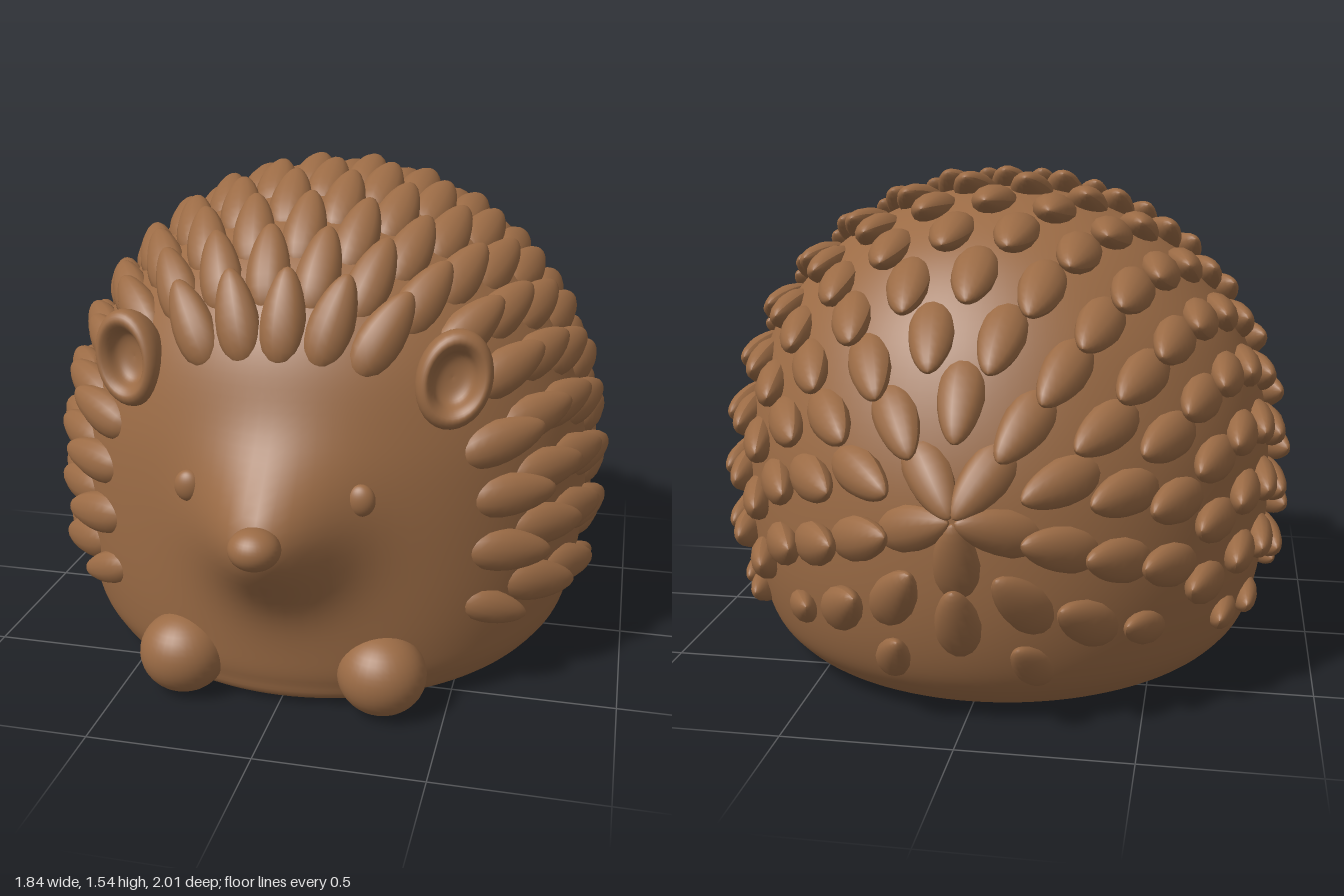
import * as THREE from 'three';
import { mergeGeometries } from 'three/addons/utils/BufferGeometryUtils.js';

// Body levels: height, half width, front z, back z
const LEVELS = [
  [0, 0, 0, 0], [0, 0.4, 0.42, -0.45], [0.01, 0.66, 0.66, -0.7], [0.08, 0.77, 0.71, -0.82],
  [0.2, 0.82, 0.73, -0.89], [0.4, 0.85, 0.74, -0.93], [0.65, 0.85, 0.74, -0.93],
  [0.85, 0.82, 0.72, -0.89], [1.05, 0.74, 0.67, -0.81], [1.2, 0.63, 0.58, -0.71],
  [1.32, 0.5, 0.44, -0.59], [1.41, 0.34, 0.27, -0.44], [1.465, 0.17, 0.08, -0.28], [1.48, 0, -0.1, -0.1],
];

// Egg-shaped rings stacked upward, pulled forward into a snout
function bodyGeometry(rows = 84, segs = 120) {
  const spline = new THREE.CubicInterpolant(LEVELS.map((_, i) => i), LEVELS.flat(), 4);
  const pos = [], index = [];
  for (let i = 0; i <= rows; i++) {
    const [h, w, front, back] = spline.evaluate((i / rows) * (LEVELS.length - 1));
    const y = Math.max(0, h), mid = -0.1 * y / 1.48;
    for (let j = 0; j < segs; j++) {
      const t = (j / segs) * Math.PI * 2, c = Math.cos(t);
      const x = w * Math.sin(t);
      let z = mid + c * (c > 0 ? front - mid : mid - back);
      if (c > 0) z += 0.2 * c * Math.exp(-(x * x + (y - 0.6) ** 2) / 0.04);
      pos.push(x, y, z);
      if (i < rows) {
        const k = (j + 1) % segs, a = i * segs, b = a + segs;
        index.push(a + j, a + k, b + k, a + j, b + k, b + j);
      }
    }
  }
  const geo = new THREE.BufferGeometry();
  geo.setAttribute('position', new THREE.Float32BufferAttribute(pos, 3));
  geo.setIndex(index);
  geo.computeVertexNormals();
  return geo;
}

// One rounded quill along +y, slimmer toward the tip
function quillGeometry() {
  const geo = new THREE.SphereGeometry(1, 14, 12);
  const p = geo.attributes.position;
  for (let i = 0; i < p.count; i++) {
    const y = p.getY(i), s = 1 - 0.22 * y;
    p.setXYZ(i, p.getX(i) * 0.066 * s, y * 0.145, p.getZ(i) * 0.05 * s);
  }
  geo.computeVertexNormals();
  return geo;
}

// Rings of quills that fan out from the face and lie toward the back
function quillsGeometry(body) {
  const ray = new THREE.Raycaster(), quill = quillGeometry(), parts = [];
  const centre = new THREE.Vector3(0, 0.65, 0);
  const rings = 11;
  for (let k = 0; k <= rings; k++) {
    const nominal = THREE.MathUtils.degToRad(52 + (k / rings) * 120);
    const n = Math.max(5, Math.round(30 * Math.sin(nominal)));
    for (let j = 0; j < n; j++) {
      const phi = Math.PI / 2 + ((j + (k % 2) / 2) / n) * Math.PI * 2;
      const start = 55 - 13 * Math.max(0, Math.sin(phi)) ** 2;
      const a = THREE.MathUtils.degToRad(start + (k / rings) * (172 - start));
      const cx = Math.cos(phi), cy = Math.sin(phi);
      const dir = new THREE.Vector3(cx * Math.sin(a), cy * Math.sin(a), Math.cos(a));
      ray.set(centre.clone().addScaledVector(dir, 3), dir.clone().negate());
      const hit = ray.intersectObject(body)[0];
      if (!hit || hit.point.y < 0.2) continue;
      const pt = hit.point, normal = hit.face.normal;
      if (Math.hypot(Math.abs(pt.x) - 0.48, pt.y - 1.02, pt.z - 0.54) < 0.17) continue;
      const flow = new THREE.Vector3(cx * Math.cos(a), cy * Math.cos(a), -Math.sin(a));
      flow.addScaledVector(normal, -flow.dot(normal)).normalize();
      const tilt = 0.3 + 0.15 * (k / rings);
      const up = flow.multiplyScalar(Math.cos(tilt)).addScaledVector(normal, Math.sin(tilt));
      const side = new THREE.Vector3().crossVectors(up, normal).normalize();
      const out = new THREE.Vector3().crossVectors(side, up);
      const m = new THREE.Matrix4().makeBasis(side, up, out).setPosition(pt);
      const low = pt.y < 0.3 ? 0.8 : 1;
      parts.push(quill.clone().scale(low, low, low).applyMatrix4(m));
    }
  }
  return mergeGeometries(parts);
}

// Cupped ear turned around its axis, with a thick round rim
function earGeometry() {
  const profile = [
    [0, -0.07], [0.07, -0.06], [0.11, -0.025], [0.122, 0.02], [0.115, 0.05],
    [0.095, 0.062], [0.075, 0.045], [0.06, 0.015], [0.035, 0.0], [0, -0.005],
  ].map(([x, y]) => new THREE.Vector2(x, y));
  const curve = new THREE.SplineCurve(profile).getPoints(36);
  curve.forEach((v) => { v.x = Math.max(0, v.x); });
  return new THREE.LatheGeometry(curve, 32).rotateX(Math.PI / 2);
}

export function createModel() {
  const model = new THREE.Group();
  const brown = new THREE.MeshStandardMaterial({ color: 0x9b6b45 });
  brown.name = 'warm brown';

  const add = (name, geo, position, scale = [1, 1, 1]) => {
    const mesh = new THREE.Mesh(geo, brown);
    mesh.name = name;
    mesh.position.set(...position);
    mesh.scale.set(...scale);
    model.add(mesh);
    return mesh;
  };

  const body = add('body', bodyGeometry(), [0, 0, 0]);
  add('quills', quillsGeometry(body), [0, 0, 0]);

  const ball = new THREE.SphereGeometry(1, 32, 20);
  add('nose', ball, [0, 0.615, 0.93], [0.075, 0.06, 0.07]);

  // Paired parts: left is +x
  const ear = earGeometry();
  for (const [side, s] of [['left', 1], ['right', -1]]) {
    add(side + 'Eye', ball, [s * 0.255, 0.7, 0.725], [0.042, 0.048, 0.03]);
    add(side + 'Foot', ball, [s * 0.31, 0.125, 0.665], [0.135, 0.125, 0.125]);
    const e = add(side + 'Ear', ear, [s * 0.48, 1.02, 0.535], [0.9, 1.2, 1]);
    e.rotation.set(-0.1, s * 0.3, -s * 0.2);
  }
  return model;
}
